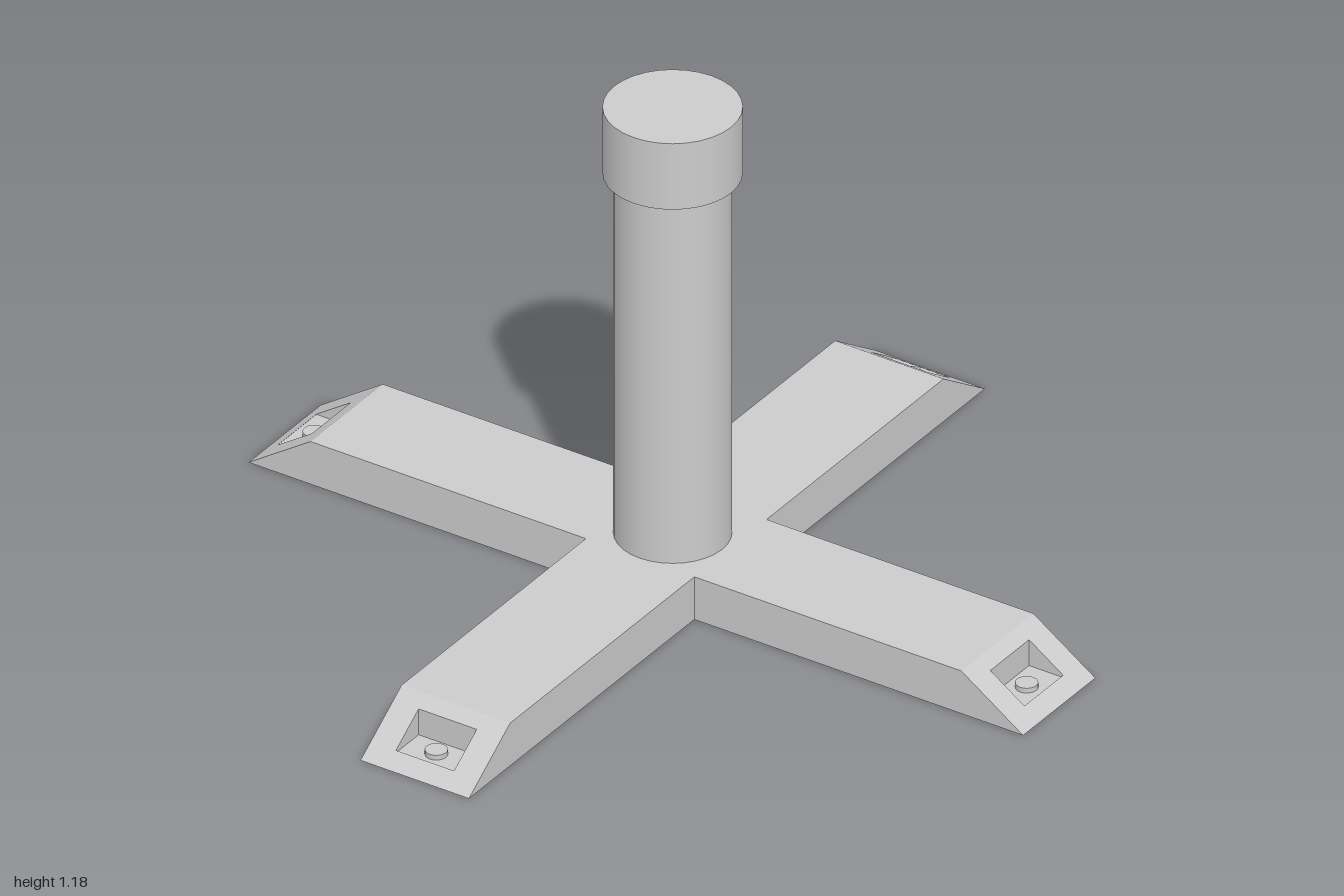
import * as THREE from 'three';

const H = 0.108;          // height of the cross base
const W = 0.14;           // half width of a leg
const POCKET_W = 0.075;   // half width of a toe pocket
const SLOPE = 0.84;       // where the toe slope starts
const FLOOR = 0.021;      // height of the pocket floor
const CX = 0.011, CZ = -0.014; // centre lines of the legs

const material = new THREE.MeshStandardMaterial({ color: 0xcccccc });

function add(parent, name, geometry, x = 0, y = 0, z = 0) {
  const mesh = new THREE.Mesh(geometry, material);
  mesh.name = name;
  mesh.position.set(x, y, z);
  parent.add(mesh);
  return mesh;
}

function extrude(points, depth) {
  const shape = new THREE.Shape(points.map(([x, y]) => new THREE.Vector2(x, y)));
  return new THREE.ExtrudeGeometry(shape, { depth, bevelEnabled: false });
}

// Sloped toe pointing along +x, with a level pocket from p0 to p1 and a button in it
function createToe(p0, p1) {
  const toe = new THREE.Group();
  const slopeY = (x) => H * (1 - x) / (1 - SLOPE);
  const solid = [[SLOPE, 0], [1, 0], [SLOPE, H]];
  const notched = [
    [SLOPE, 0], [1, 0], [p1, slopeY(p1)], [p1, FLOOR],
    [p0, FLOOR], [p0, slopeY(p0)], [SLOPE, H],
  ];
  add(toe, 'toeSide', extrude(solid, W - POCKET_W), 0, 0, -W);
  add(toe, 'toePocket', extrude(notched, 2 * POCKET_W), 0, 0, -POCKET_W);
  add(toe, 'toeSide', extrude(solid, W - POCKET_W), 0, 0, POCKET_W);
  add(toe, 'pocketButton', new THREE.CylinderGeometry(0.025, 0.025, 0.012, 24),
    (p0 + p1) / 2, FLOOR + 0.006, 0);
  return toe;
}

export function createModel() {
  const model = new THREE.Group();
  model.name = 'crossStand';

  // Cross base, drawn from above with shape y = -z
  const l = CX - W, r = CX + W, b = -CZ - W, t = -CZ + W;
  const cross = extrude([
    [l, -SLOPE], [r, -SLOPE], [r, b], [SLOPE, b], [SLOPE, t], [r, t],
    [r, SLOPE], [l, SLOPE], [l, t], [-SLOPE, t], [-SLOPE, b], [l, b],
  ], H);
  cross.rotateX(-Math.PI / 2);
  add(model, 'crossBase', cross);

  // Toes at the four ends
  const toes = [
    ['leftToe', 0, 0.872, 0.96],
    ['backToe', 1, 0.88, 0.968],
    ['rightToe', 2, 0.88, 0.968],
    ['frontToe', 3, 0.872, 0.96],
  ];
  for (const [name, turn, p0, p1] of toes) {
    const toe = createToe(p0, p1);
    toe.name = name;
    toe.rotation.y = turn * Math.PI / 2;
    toe.position.set(turn % 2 ? CX : 0, 0, turn % 2 ? 0 : CZ);
    model.add(toe);
  }

  // Post and its wider cap
  add(model, 'post', new THREE.CylinderGeometry(0.128, 0.128, 1.02 - H, 32), CX, (1.02 + H) / 2, 0);
  add(model, 'postCap', new THREE.CylinderGeometry(0.151, 0.151, 0.167, 32), CX, 1.1015, 0);

  return model;
}
